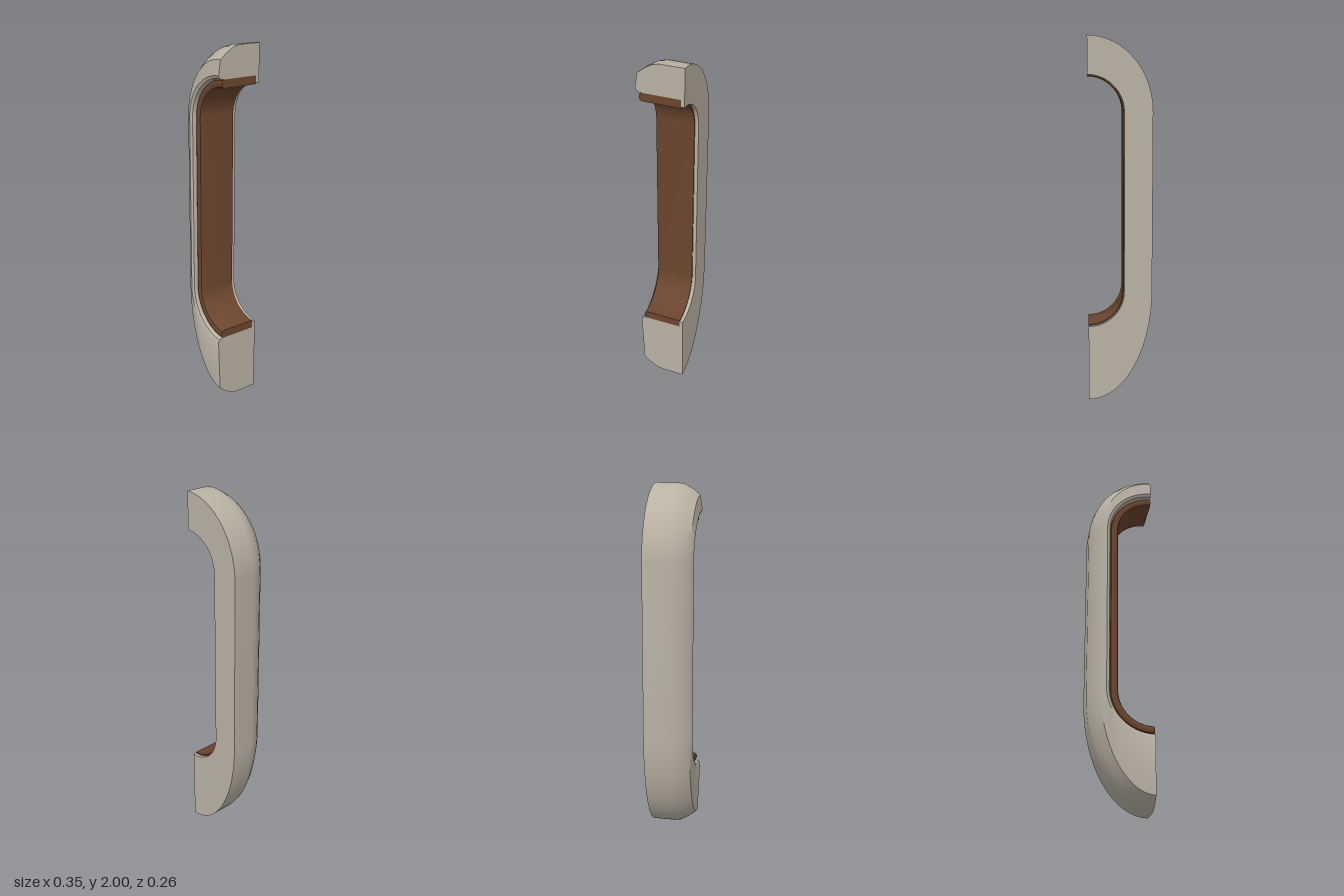
import * as THREE from 'three';
import { toCreasedNormals } from 'three/addons/utils/BufferGeometryUtils.js';

const END_X = 0.175;   // plane of the two cut ends
const STEPS = 18;      // stations per rounded corner

// Stations along the C-shaped path, from the upper cut end to the lower one
function makeStations() {
  const corners = [
    { y: 1.6, ry: 0.4, from: Math.PI / 2 },
    { y: 0.62, ry: 0.62, from: Math.PI },
  ];
  const stations = [];
  for (const { y, ry, from } of corners) {
    for (let i = 0; i <= STEPS; i++) {
      const a = from + (i / STEPS) * Math.PI / 2;
      const c = Math.cos(a), s = Math.sin(a);
      stations.push({
        // point on the inner circle of radius r
        inner: (r, z) => new THREE.Vector3(END_X + r * c, y + r * s, z),
        // point on the outer ellipse, moved inwards along its normal
        outer: (inset, z) => {
          const n = new THREE.Vector2(c / 0.35, s / ry).normalize();
          return new THREE.Vector3(END_X + 0.35 * c - n.x * inset, y + ry * s - n.y * inset, z);
        },
      });
    }
  }
  return stations;
}

// Loft a closed cross-section along the stations and cap both ends
function loft(section, crease) {
  const rings = makeStations().map(section);
  const n = rings[0].length;
  const pos = [];
  const tri = (...pts) => pts.forEach((p) => pos.push(p.x, p.y, p.z));
  for (let i = 0; i < rings.length - 1; i++) {
    const a = rings[i], b = rings[i + 1];
    for (let j = 0; j < n; j++) {
      const k = (j + 1) % n;
      tri(a[j], b[j], a[k]);
      tri(a[k], b[j], b[k]);
    }
  }
  for (const ring of [rings[0], rings[rings.length - 1]]) {
    const flat = ring.map((p) => new THREE.Vector2(-p.z, p.y));
    for (const f of THREE.ShapeUtils.triangulateShape(flat, [])) {
      const [p, q, r] = f.map((i) => ring[i]);
      const normal = q.clone().sub(p).cross(r.clone().sub(p));
      if (normal.x > 0) tri(p, q, r); // both cut ends face +x
      else tri(p, r, q);
    }
  }
  const geo = new THREE.BufferGeometry();
  geo.setAttribute('position', new THREE.Float32BufferAttribute(pos, 3));
  return toCreasedNormals(geo, crease);
}

export function createModel() {
  const shellMat = new THREE.MeshStandardMaterial({ color: 0xbab2a4 });
  shellMat.name = 'warm grey';
  const liningMat = new THREE.MeshStandardMaterial({ color: 0x6b452e });
  liningMat.name = 'brown';

  const group = new THREE.Group();
  group.name = 'halfFrame';
  const add = (name, geo, mat) => {
    const mesh = new THREE.Mesh(geo, mat);
    mesh.name = name;
    group.add(mesh);
  };

  // Outer shell: flat back, bevelled front edge, recess with a rear lip
  add('outerShell', loft(({ inner, outer }) => [
    outer(0, -0.13), outer(0, 0), outer(0.007, 0.035), outer(0.033, 0.08), outer(0.064, 0.118),
    inner(0.256, 0.13), inner(0.241, 0.122), inner(0.235, 0.105),
    inner(0.235, -0.11), inner(0.197, -0.11), inner(0.197, -0.13),
  ], 0.6), shellMat);

  // Inner lining with softened front edges
  add('innerLining', loft(({ inner }) => [
    inner(0.235, -0.11), inner(0.235, 0.094), inner(0.23, 0.105), inner(0.219, 0.11),
    inner(0.206, 0.11), inner(0.195, 0.105), inner(0.19, 0.094), inner(0.19, -0.11),
  ], 0.6), liningMat);

  return group;
}
